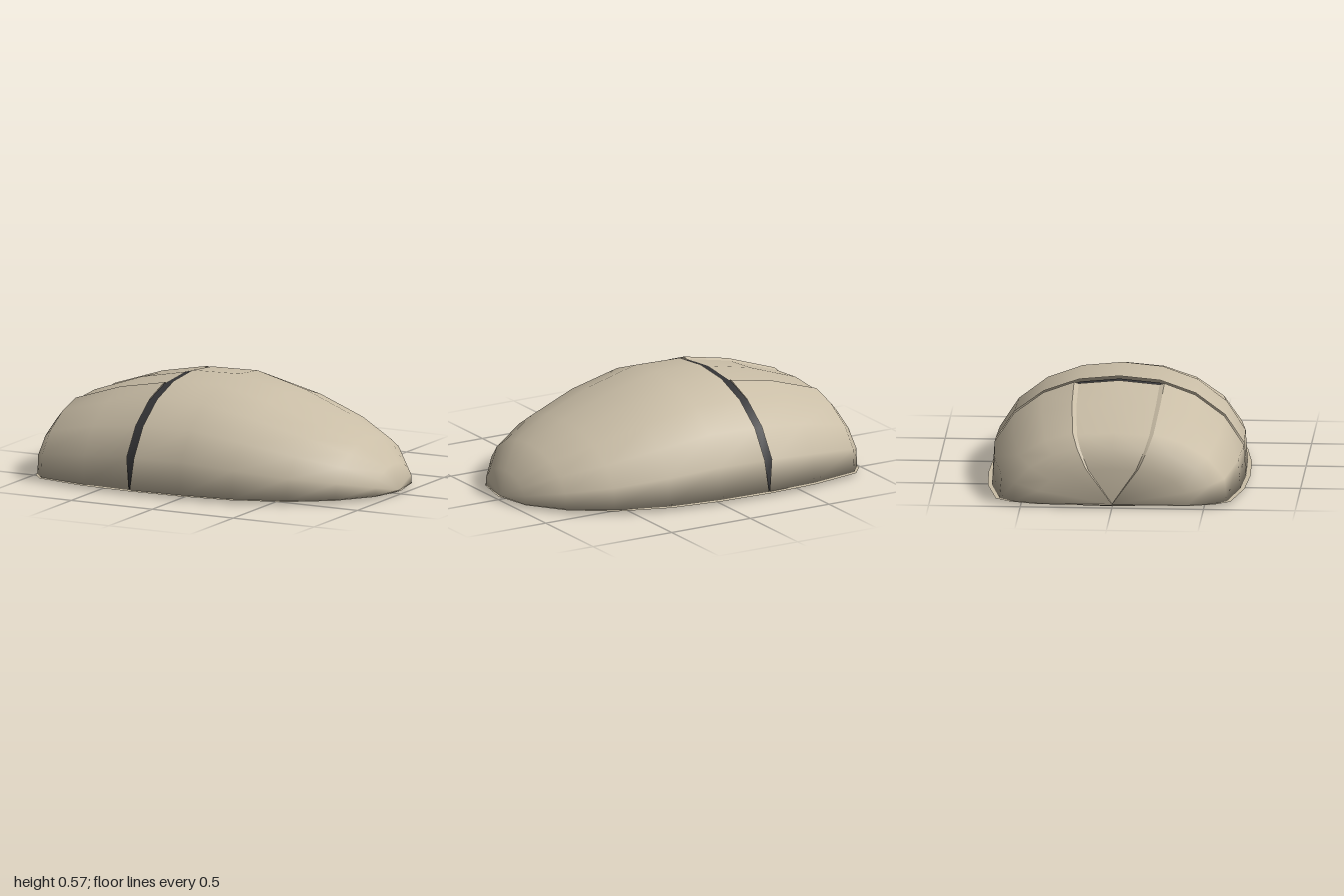
import * as THREE from 'three';
import { mergeVertices } from 'three/addons/utils/BufferGeometryUtils.js';

const BASE_Y = 0.02, SLOT_X = -0.307;

// Stations along the length: [x, half width, top height]
const NOSE = [[-0.995, 0, 0.02], [-0.995, 0.42, 0.23], [-0.955, 0.56, 0.335], [-0.89, 0.64, 0.41], [-0.6, 0.7, 0.51]];
const MIDDLE = [SLOT_X, 0.715, 0.563];
const TAIL = [[0, 0.705, 0.57], [0.3, 0.665, 0.494], [0.59, 0.565, 0.39], [0.81, 0.41, 0.29], [0.955, 0.215, 0.16], [0.988, 0, 0.02]];

// Half cross-section from underside centre to crown: [width fraction, height fraction]
const SIDE = [[0, 0], [0.968, 0], [0.951, 0.327], [0.804, 0.618], [0.58, 0.836], [0.345, 0.95]];
const EDGE = [0.309, 0.962];
const CROWN = [0, 1];

const mirror = (cols) => cols.map(([z, y]) => [-z, y]).reverse();

// Skins a grid of points, rows along x and columns running from +z over the top to -z
function skin(rows, cols, point) {
  const pos = [], idx = [];
  rows.forEach((r) => cols.forEach((c) => pos.push(...point(r, c))));
  const n = cols.length;
  for (let i = 0; i < rows.length - 1; i++) {
    for (let j = 0; j < n - 1; j++) {
      const a = i * n + j, b = a + n;
      idx.push(a, b, b + 1, a, b + 1, a + 1);
    }
  }
  let g = new THREE.BufferGeometry();
  g.setAttribute('position', new THREE.Float32BufferAttribute(pos, 3));
  g.setIndex(idx);
  g = mergeVertices(g, 1e-4);
  g.computeVertexNormals();
  return g;
}

// Point on the body; the slot edge narrows to nothing at the rim
function bodyPoint([x, w, h, slot = 0], [zf, yf, drop = 0]) {
  const open = yf > 0.1 ? 0.022 : 0.002;
  const front = x < -0.98 ? drop * 0.8 : 0;
  return [x + slot * open + front, BASE_Y + (h - BASE_Y) * yf - (h > 0.1 ? drop : 0), w * zf];
}

export function createModel() {
  const group = new THREE.Group();
  const shell = new THREE.MeshStandardMaterial({ color: 0xc9bda6, side: THREE.DoubleSide });
  shell.name = 'beige shell';
  const dark = new THREE.MeshStandardMaterial({ color: 0x333335, side: THREE.DoubleSide });
  dark.name = 'dark seam';
  const add = (name, geometry, material) => {
    const mesh = new THREE.Mesh(geometry, material);
    mesh.name = name;
    group.add(mesh);
  };

  const frontRows = [...NOSE, [...MIDDLE, -1]];
  const rearRows = [[...MIDDLE, 1], ...TAIL];

  // Palm rest behind the slot
  const half = [...SIDE.slice(0, 5), EDGE];
  add('palmRest', skin(rearRows, [...half, CROWN, ...mirror(half)], bodyPoint), shell);

  // Two buttons with a sunken strip between them
  const depth = 0.014;
  const sunk = [...EDGE, depth];
  add('frontButton', skin(frontRows, SIDE, bodyPoint), shell);
  add('backButton', skin(frontRows, mirror(SIDE), bodyPoint), shell);
  const inner = SIDE[SIDE.length - 1];
  add('frontStripWall', skin(frontRows, [inner, sunk], bodyPoint), shell);
  add('backStripWall', skin(frontRows, [[-sunk[0], sunk[1], depth], [-inner[0], inner[1]]], bodyPoint), shell);
  add('centreStrip', skin(frontRows, [sunk, [...CROWN, depth], [-sunk[0], sunk[1], depth]], bodyPoint), shell);

  // Dark band showing through the slot
  const bandRows = [-0.035, 0.035].map((d) => [SLOT_X + d, MIDDLE[1], MIDDLE[2]]);
  const arch = half.slice(1);
  add('slotBand', skin(bandRows, [...arch, CROWN, ...mirror(arch)], ([x, w, h], [zf, yf]) =>
    [x, BASE_Y + (h - BASE_Y - 0.018) * yf, w * zf * 0.978]), dark);

  // Slightly bulging base with a narrow ledge around the body
  const baseRows = [...NOSE.slice(1), MIDDLE, ...TAIL].map(([x, w]) =>
    [x < -0.99 ? -1 : x > 0.98 ? 1 : x, w, Math.abs(x) > 0.98 ? 0.018 : 0.002]);
  baseRows[1][2] = 0;
  add('baseUnderside', skin(baseRows, [[-1], [0], [1]], ([x, w, y], [f]) =>
    [x, f ? 0.018 : y, w * f]), shell);
  add('baseLedge', skin(baseRows, [[1], [-1]], ([x, w], [f]) => [x, 0.019, w * f]), shell);

  return group;
}
